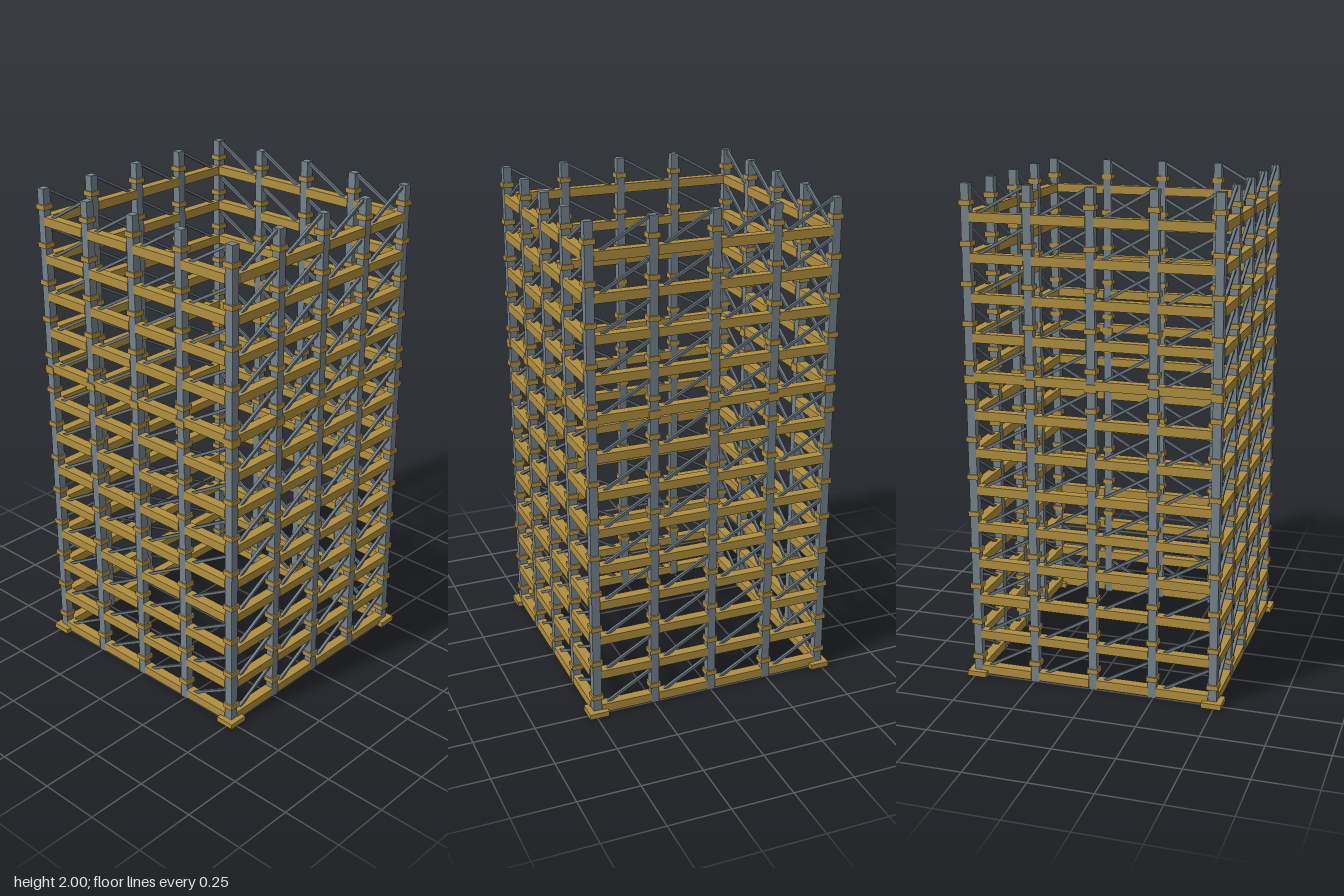
import * as THREE from 'three';

const HALF = 0.49;        // post centre line
const BAY = HALF / 2;     // spacing of posts
const STOREYS = 13;
const RISE = 2 / STOREYS; // storey height
const POST = 0.034;

function material(name, color) {
  const m = new THREE.MeshStandardMaterial({ color });
  m.name = name;
  return m;
}

export function createModel() {
  const steel = material('steel grey', 0x75838c);
  const braceSteel = material('brace grey', 0x68757f);
  const ochre = material('ochre', 0xb08f3e);

  // Shared geometries
  const postGeo = new THREE.BoxGeometry(POST, 2, POST);
  const collarGeo = new THREE.BoxGeometry(0.046, 0.02, 0.046);
  const spliceGeo = new THREE.BoxGeometry(0.046, 0.032, 0.046);
  const beamGeo = new THREE.BoxGeometry(BAY - POST, 0.036, 0.04);
  const plateGeo = new THREE.BoxGeometry(0.08, 0.022, 0.08);
  // Brace rises from just beside one post to the head of the next
  const from = new THREE.Vector2(0.017, 0.025);
  const to = new THREE.Vector2(0.23, 0.146);
  const run = to.clone().sub(from);
  const braceGeo = new THREE.BoxGeometry(run.length(), 0.011, 0.012);
  const braceMid = from.clone().add(to).multiplyScalar(0.5);

  const add = (parent, name, geo, mat, x, y, z) => {
    const mesh = new THREE.Mesh(geo, mat);
    mesh.name = name;
    mesh.position.set(x, y, z);
    parent.add(mesh);
    return mesh;
  };

  // One wall: four bays, each owning the post at its start
  function wall() {
    const g = new THREE.Group();
    for (let b = 0; b < 4; b++) {
      const x = -HALF + b * BAY;
      add(g, 'post', postGeo, steel, x, 1, HALF);
      add(g, 'splicePlate', spliceGeo, ochre, x, 8 * RISE + 0.016, HALF);
      for (let k = 0; k < STOREYS; k++) {
        const y = k * RISE;
        add(g, 'collar', collarGeo, ochre, x, y + 0.081, HALF);
        add(g, 'beam', beamGeo, ochre, x + BAY / 2, y + 0.027, HALF);
        const brace = add(g, 'brace', braceGeo, braceSteel, x + braceMid.x, y + braceMid.y, HALF);
        brace.rotation.z = run.angle();
      }
    }
    // Corner foot
    add(g, 'basePlate', plateGeo, ochre, -HALF, 0.011, HALF);
    return g;
  }

  // Four identical walls turned about the vertical axis
  const model = new THREE.Group();
  model.name = 'scaffoldTower';
  ['frontWall', 'leftWall', 'backWall', 'rightWall'].forEach((name, i) => {
    const w = wall();
    w.name = name;
    w.rotation.y = i * Math.PI / 2;
    model.add(w);
  });
  return model;
}
